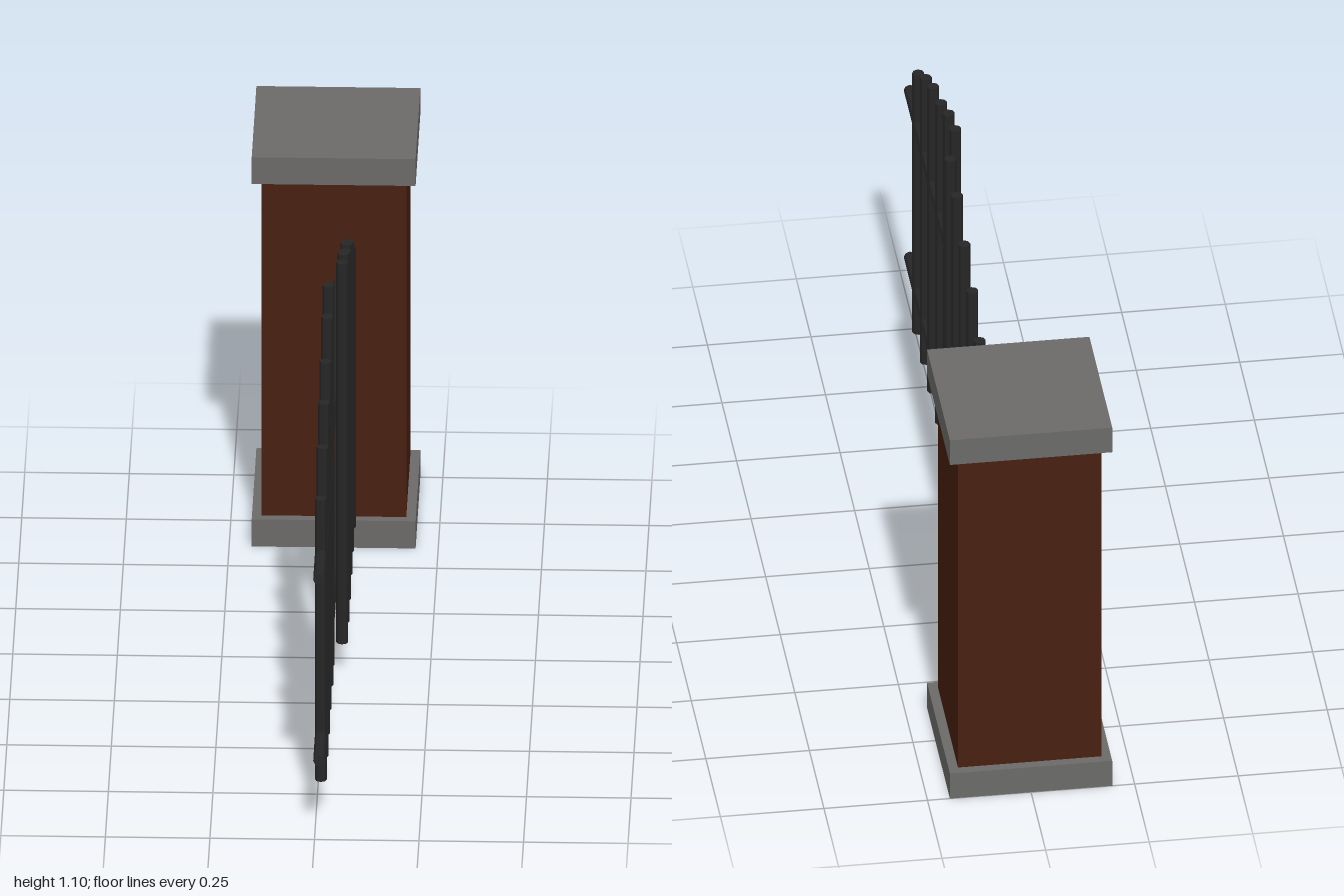
import * as THREE from 'three';

export function createModel() {
  const model = new THREE.Group();
  const stone = new THREE.MeshStandardMaterial({ color: 0x6b6a68 });
  const brick = new THREE.MeshStandardMaterial({ color: 0x471f10 });
  const iron = new THREE.MeshStandardMaterial({ color: 0x262626, flatShading: true });

  const add = (parent, name, geometry, material, x, y, z) => {
    const mesh = new THREE.Mesh(geometry, material);
    mesh.name = name;
    mesh.position.set(x, y, z);
    parent.add(mesh);
    return mesh;
  };

  // Pillar: shaft between a base slab and a cap slab
  const pillar = new THREE.Group();
  pillar.name = 'pillar';
  const pz = -0.804;
  add(pillar, 'pillarBase', new THREE.BoxGeometry(0.392, 0.072, 0.392), stone, 0, 0.036, pz);
  add(pillar, 'pillarShaft', new THREE.BoxGeometry(0.346, 0.89, 0.346), brick, 0, 0.517, pz);
  add(pillar, 'pillarCap', new THREE.BoxGeometry(0.392, 0.071, 0.392), stone, 0, 0.9975, pz);
  model.add(pillar);

  const fence = new THREE.Group();
  fence.name = 'fence';
  model.add(fence);

  // Two horizontal rails running into the pillar
  const radius = 0.0145;
  const railEnd = -0.65;
  for (const [name, y] of [['lowerRail', 0.209], ['upperRail', 0.69]]) {
    const geometry = new THREE.CylinderGeometry(radius, radius, 1 - railEnd, 8);
    geometry.rotateX(Math.PI / 2);
    add(fence, name, geometry, iron, 0.0115, y, (1 + railEnd) / 2);
  }

  // Upright bars with arched tops: front half in line with the rails, rear half beside them
  const bottom = 0.09;
  const tops = [0.836, 0.91, 0.968, 1.012, 1.068, 1.098];
  const frontZ = [0.855, 0.725, 0.6, 0.464, 0.335, 0.223];
  const rearZ = [-0.535, -0.406, -0.278, -0.142, -0.016, 0.097];
  const addBars = (name, x, zs) => zs.forEach((z, i) => {
    const height = tops[i] - bottom;
    const geometry = new THREE.CylinderGeometry(radius, radius, height, 8);
    add(fence, name, geometry, iron, x, bottom + height / 2, z);
  });
  addBars('frontBar', 0.0115, frontZ);
  addBars('rearBar', 0.0405, rearZ);

  return model;
}
